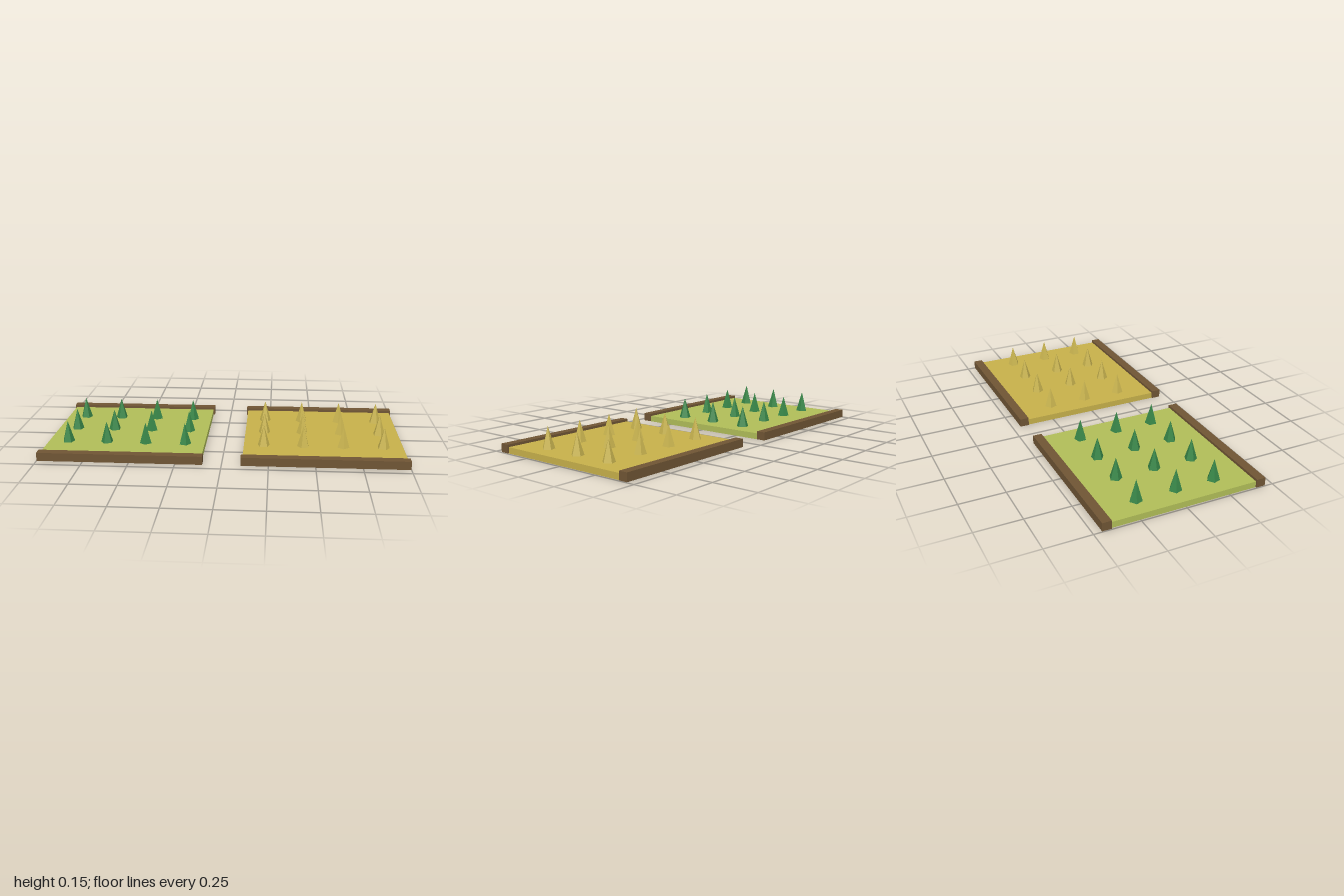
import * as THREE from 'three';

const paint = (name, color) => {
  const m = new THREE.MeshStandardMaterial({ color });
  m.name = name;
  return m;
};

export function createModel() {
  const model = new THREE.Group();
  model.name = 'cropFields';
  const wood = paint('brown wood', 0x6f5534);
  const plots = [
    { name: 'greenPlot', x: -0.55, soil: paint('light green', 0xb0bd58), crop: paint('leaf green', 0x388648) },
    { name: 'wheatPlot', x: 0.55, soil: paint('wheat gold', 0xc6b04a), crop: paint('pale gold', 0xcab550) },
  ];

  const soilGeo = new THREE.BoxGeometry(0.88, 0.034, 0.88);
  const railGeo = new THREE.BoxGeometry(0.896, 0.046, 0.05);
  // five-sided spikes with flat facets
  const cropGeo = new THREE.ConeGeometry(0.035, 0.12, 5).toNonIndexed();
  cropGeo.computeVertexNormals();

  for (const { name, x, soil, crop } of plots) {
    const plot = new THREE.Group();
    plot.name = name;
    plot.position.x = x;
    model.add(plot);

    const add = (part, geo, mat, px, py, pz) => {
      const mesh = new THREE.Mesh(geo, mat);
      mesh.name = part;
      mesh.position.set(px, py, pz);
      plot.add(mesh);
      return mesh;
    };

    // ground slab
    add('soil', soilGeo, soil, 0, 0.017, 0);

    // wooden rails along the front and back
    for (const side of [-1, 1]) add(side > 0 ? 'frontRail' : 'backRail', railGeo, wood, 0, 0.025, side * 0.43);

    // crop rows, each column turned a little further
    for (let col = 0; col < 4; col++) {
      for (let row = -1; row <= 1; row++) {
        const plant = add('crop', cropGeo, crop, (col - 1.5) * 0.22, 0.093, row * 0.22);
        plant.rotation.y = Math.PI + (col * Math.PI) / 10;
      }
    }
  }
  return model;
}
